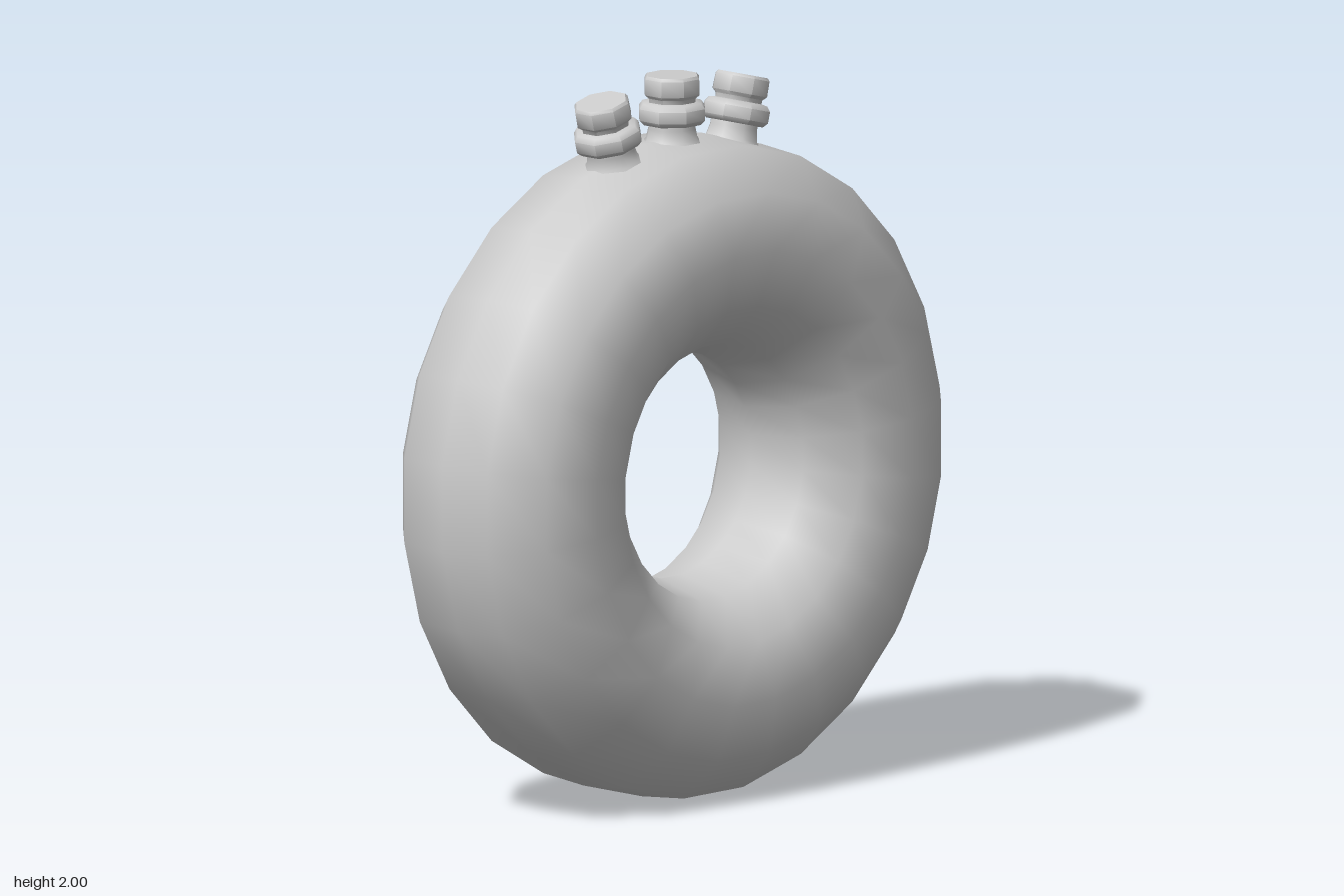
import * as THREE from 'three';
import { toCreasedNormals } from 'three/addons/utils/BufferGeometryUtils.js';

const CENTER_Y = 0.912;
const OUTER_RADIUS = 0.917;

// Ring body: 12-sided tube in 24 steps, slightly flattened along its outer rim
function createRing(material) {
  const geometry = new THREE.TorusGeometry(0.63, 0.315, 12, 24);
  geometry.rotateZ(Math.PI / 24);
  const p = geometry.attributes.position;
  for (let i = 0; i < p.count; i++) {
    const r = Math.hypot(p.getX(i), p.getY(i));
    if (r > OUTER_RADIUS) {
      const s = OUTER_RADIUS / r;
      p.setXY(i, p.getX(i) * s, p.getY(i) * s);
    }
  }
  const ring = new THREE.Mesh(geometry, material);
  ring.name = 'ringBody';
  return ring;
}

// Eight-sided turned part; profile is [flat-to-flat half width, distance from ring centre]
function turned(name, profile, material) {
  const points = profile.map(([w, y]) => new THREE.Vector2(w / Math.cos(Math.PI / 8), y));
  const geometry = new THREE.LatheGeometry(points, 8, Math.PI / 8);
  const mesh = new THREE.Mesh(toCreasedNormals(geometry, 0.9), material);
  mesh.name = name;
  return mesh;
}

// Bottle neck with a flared foot, a collar and a stopper
function createSpout(name, material) {
  const spout = new THREE.Group();
  spout.name = name;
  spout.add(
    turned('neck', [[0.11, 0.86], [0.088, 0.888], [0.07, 0.91], [0.064, 0.94], [0.066, 0.99]], material),
    turned('collar', [[0.055, 0.953], [0.078, 0.953], [0.09, 0.966], [0.09, 0.998], [0.08, 1.012], [0.055, 1.016]], material),
    turned('stopper', [[0.062, 1.0], [0.064, 1.026], [0.075, 1.036], [0.074, 1.08], [0.068, 1.088], [0, 1.088]], material)
  );
  return spout;
}

export function createModel() {
  const model = new THREE.Group();
  model.name = 'ringFlask';
  const material = new THREE.MeshStandardMaterial({ color: 0xcccccc });

  const body = new THREE.Group();
  body.name = 'flask';
  body.position.y = CENTER_Y;
  body.add(createRing(material));

  // Three spouts fanned radially over the top
  ['rightSpout', 'middleSpout', 'leftSpout'].forEach((name, i) => {
    const spout = createSpout(name, material);
    spout.rotation.z = (1 - i) * Math.PI / 12;
    body.add(spout);
  });

  model.add(body);
  return model;
}
